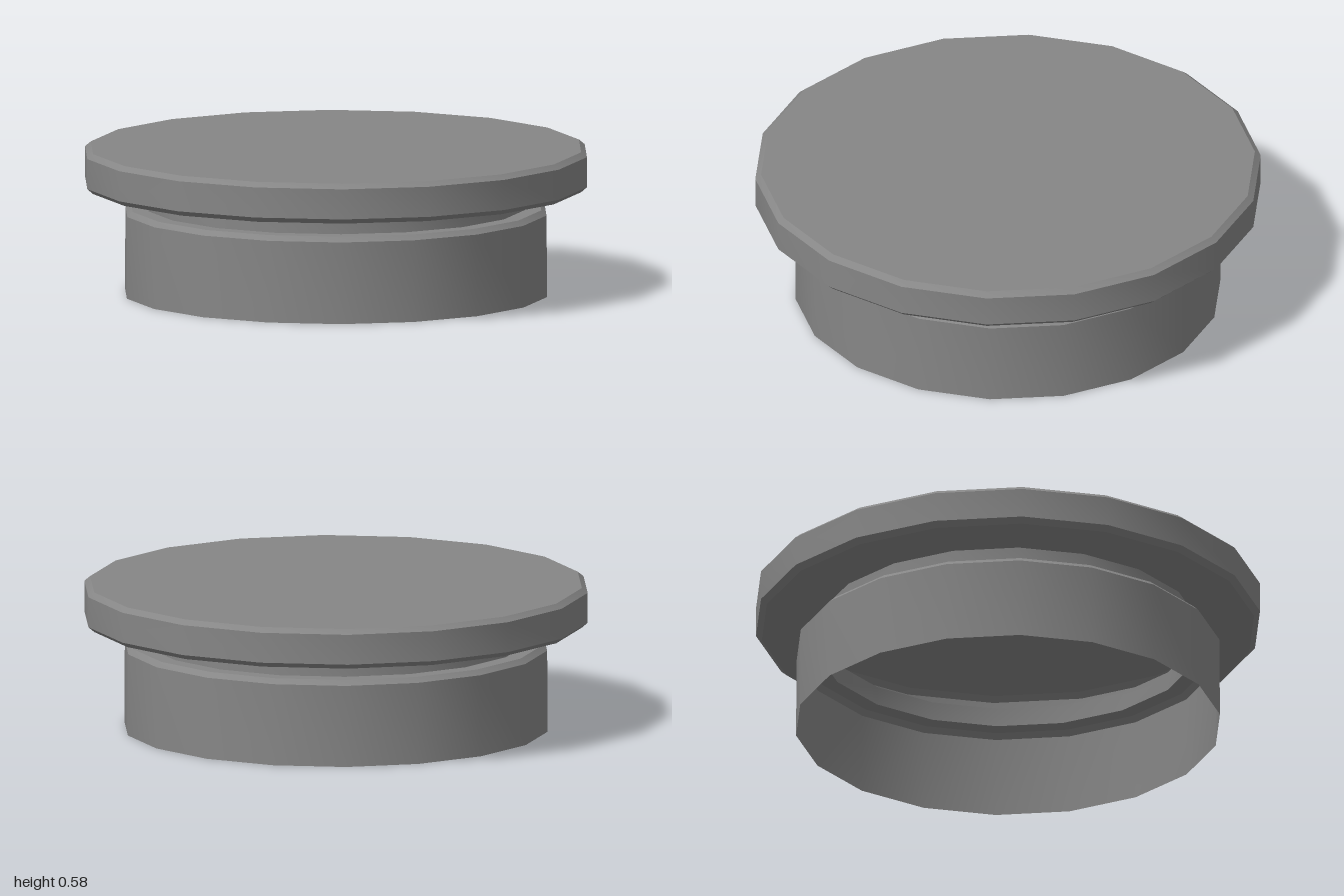
import * as THREE from 'three';
import { toCreasedNormals } from 'three/addons/utils/BufferGeometryUtils.js';

const SIDES = 18;

// Thin turned shell from [radius, height] points, listed from bottom to top
function turned(name, profile, material) {
  const points = profile.map(([r, y]) => new THREE.Vector2(r, y));
  // quarter-turn start puts a corner on the x axis and a flat side at the front
  const lathe = new THREE.LatheGeometry(points, SIDES, Math.PI / 2);
  const mesh = new THREE.Mesh(toCreasedNormals(lathe, 0.5), material);
  mesh.name = name;
  return mesh;
}

export function createModel() {
  const group = new THREE.Group();
  group.name = 'cap';
  const material = new THREE.MeshStandardMaterial({ color: 0x868686, side: THREE.DoubleSide });

  // Hollow lid with bevelled edges, open below inside the neck
  group.add(turned('lid', [
    [0.753, 0.421], [0.977, 0.421], [1, 0.441], [1, 0.561], [0.977, 0.58], [0, 0.58],
  ], material));

  // Wall joining the lid to the skirt
  group.add(turned('neck', [[0.753, 0.345], [0.753, 0.421]], material));

  // Skirt, open below, with a bevelled shoulder
  group.add(turned('skirt', [
    [0.841, 0], [0.839, 0.325], [0.818, 0.345], [0.753, 0.345],
  ], material));

  return group;
}
